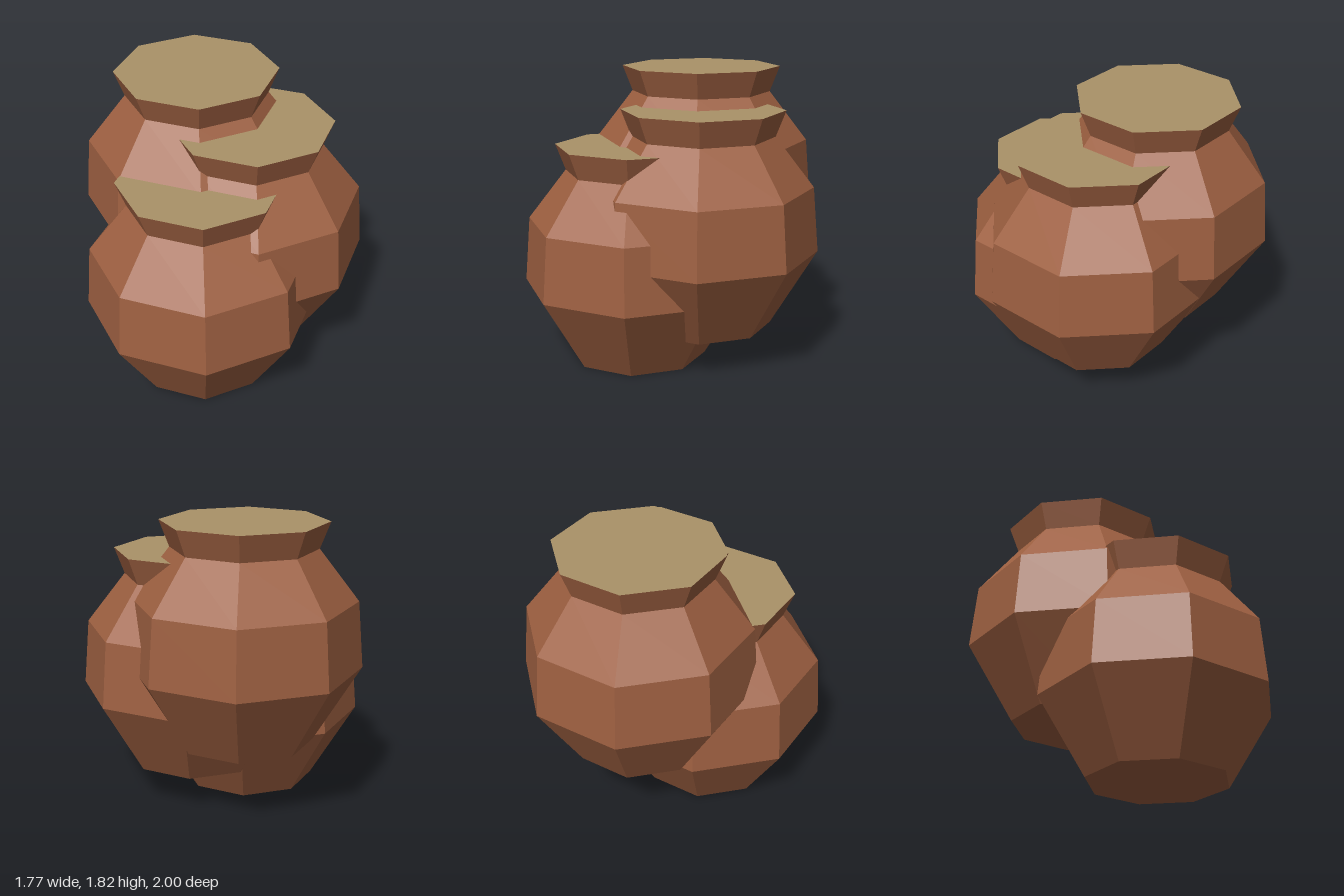
import * as THREE from 'three';

const SIDES = 8;
const clay = new THREE.MeshStandardMaterial({ color: 0x9e6041, flatShading: true });
clay.name = 'terracotta';
const filling = new THREE.MeshStandardMaterial({ color: 0xaa9268, flatShading: true });
filling.name = 'tan filling';

// Half outline of a pot: [radius, height], from base centre to rim
const RIM_RADIUS = 0.51;
const RIM_HEIGHT = 1.365;
const PROFILE = [
  [0, 0], [0.435, 0], [0.725, 0.477], [0.69, 0.887], [0.447, 1.202], [RIM_RADIUS, RIM_HEIGHT],
].map(([r, y]) => new THREE.Vector2(r, y));

function makePot(name, x, y, z) {
  const pot = new THREE.Group();
  pot.name = name;

  // Eight-sided body with closed base
  const body = new THREE.Mesh(new THREE.LatheGeometry(PROFILE, SIDES), clay);
  body.name = 'potBody';

  // Flat surface filling the mouth
  const top = new THREE.Mesh(new THREE.CircleGeometry(RIM_RADIUS, SIDES).rotateX(-Math.PI / 2), filling);
  top.name = 'potFilling';
  top.position.y = RIM_HEIGHT;

  pot.add(body, top);
  pot.position.set(x, y, z);
  return pot;
}

export function createModel() {
  const group = new THREE.Group();
  group.name = 'potCluster';
  // Three equal pots, stepping upward from front to back
  group.add(
    makePot('frontPot', -0.16, 0, 0.273),
    makePot('middlePot', 0.16, 0.228, 0),
    makePot('backPot', -0.16, 0.455, -0.273),
  );
  return group;
}
